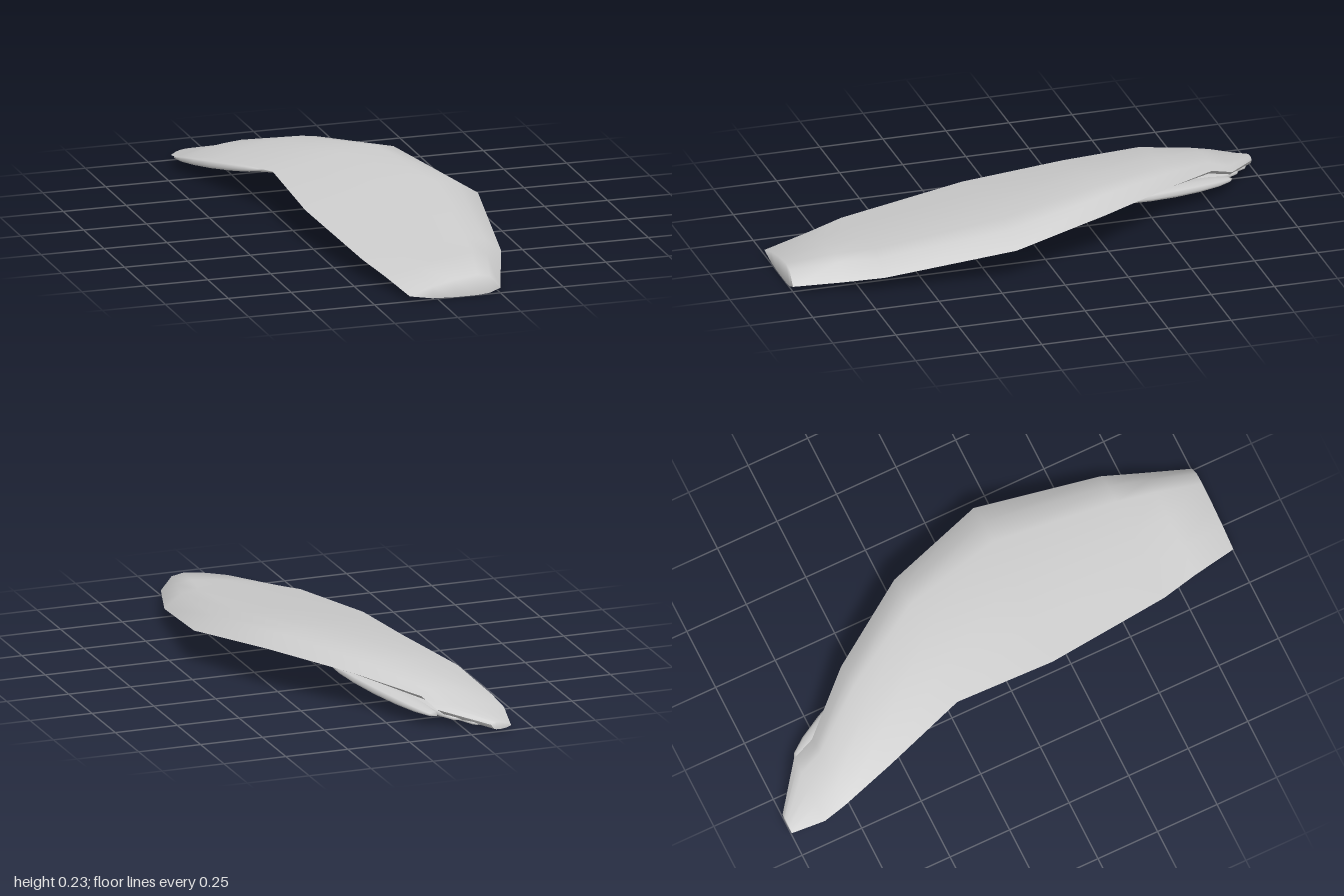
import * as THREE from 'three';

// Cross-sections from front to tail: z, left x, left y, right x, right y, crown y, underside y
const SECTIONS = [
  [1, -0.11, 0.02, 0.25, 0.02, 0.08, 0],
  [0.82, -0.15, 0.05, 0.31, 0.04, 0.11, 0.02],
  [0.67, -0.19, 0.075, 0.36, 0.06, 0.122, 0.042],
  [0.17, -0.255, 0.13, 0.43, 0.135, 0.195, 0.112],
  [-0.23, -0.255, 0.165, 0.29, 0.17, 0.23, 0.145],
  [-0.56, -0.36, 0.13, 0.07, 0.15, 0.19, 0.125],
  [-0.78, -0.415, 0.075, -0.13, 0.1, 0.125, 0.07],
  [-0.87, -0.43, 0.05, -0.16, 0.07, 0.085, 0.04],
  [-1, -0.41, 0.02, -0.33, 0.03, 0.04, 0.01],
];

// Profiles across the width: position from left to right, share of the height
const CROWN = [[0, 0], [0.25, 0.5], [0.5, 0.82], [0.75, 1], [0.88, 0.85], [1, 0]];
const UNDERSIDE = [[0, 0], [0.25, 0.8], [0.5, 1], [0.75, 1], [0.88, 0.8], [1, 0]];

function sectionPoints(section, profile, heightIndex) {
  const [z, xl, yl, xr, yr] = section;
  return profile.map(([t, h]) => {
    const base = THREE.MathUtils.lerp(yl, yr, t);
    return [THREE.MathUtils.lerp(xl, xr, t), base + (section[heightIndex] - base) * h, z];
  });
}

// Joins rows of points into a smooth surface
function skin(rows, flip) {
  const n = rows[0].length;
  const index = [];
  for (let i = 0; i < rows.length - 1; i++) {
    for (let j = 0; j < n - 1; j++) {
      const a = i * n + j, b = a + 1, c = a + n, d = c + 1;
      if (flip) index.push(a, c, b, b, c, d);
      else index.push(a, b, c, b, d, c);
    }
  }
  const geometry = new THREE.BufferGeometry();
  geometry.setAttribute('position', new THREE.Float32BufferAttribute(rows.flat(2), 3));
  geometry.setIndex(index);
  geometry.computeVertexNormals();
  return geometry;
}

// A flat, tapered blade between two points
function blade(start, end, width, thickness, material) {
  const a = new THREE.Vector3(...start), b = new THREE.Vector3(...end);
  const geometry = new THREE.SphereGeometry(1, 10, 8);
  geometry.rotateX(Math.PI / 2);
  geometry.scale(width, thickness, a.distanceTo(b) / 2);
  const mesh = new THREE.Mesh(geometry, material);
  mesh.position.copy(a).add(b).multiplyScalar(0.5);
  mesh.lookAt(b);
  return mesh;
}

export function createModel() {
  const group = new THREE.Group();
  group.name = 'curvedWing';
  const grey = new THREE.MeshStandardMaterial({ color: 0xcccccc, side: THREE.DoubleSide });
  grey.name = 'lightGrey';

  // Shell: crown with rounded-over ends, and the underside
  const lower = SECTIONS.map((s) => sectionPoints(s, UNDERSIDE, 6));
  const upper = SECTIONS.map((s) => sectionPoints(s, CROWN, 5));
  const crown = new THREE.Mesh(skin([lower[0], ...upper, lower[lower.length - 1]], false), grey);
  crown.name = 'upperShell';
  const underside = new THREE.Mesh(skin(lower, true), grey);
  underside.name = 'underside';
  group.add(crown, underside);

  // Overlapping blades beneath the tail
  const blades = new THREE.Group();
  blades.name = 'tailBlades';
  [
    [[0.06, 0.115, -0.3], [-0.16, 0.045, -0.87]],
    [[0.0, 0.11, -0.34], [-0.24, 0.035, -0.92]],
    [[-0.07, 0.105, -0.38], [-0.3, 0.025, -0.97]],
    [[-0.13, 0.1, -0.43], [-0.36, 0.02, -0.99]],
    [[-0.2, 0.09, -0.5], [-0.4, 0.02, -0.985]],
  ].forEach(([start, end], i) => {
    const mesh = blade(start, end, 0.055, 0.022, grey);
    mesh.name = `tailBlade${i + 1}`;
    blades.add(mesh);
  });
  group.add(blades);
  return group;
}
